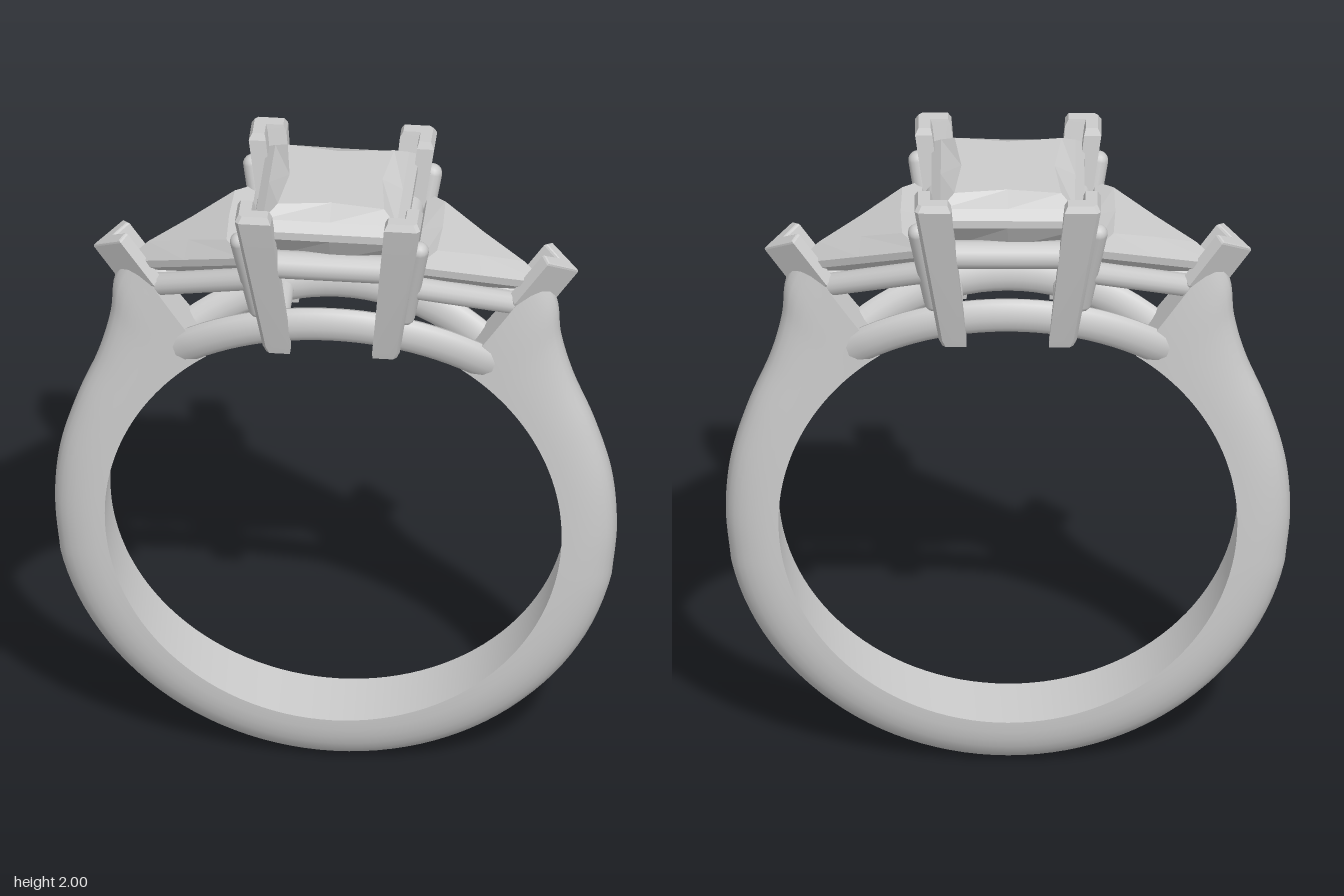
import * as THREE from 'three';
import { toCreasedNormals } from 'three/addons/utils/BufferGeometryUtils.js';

const mat = new THREE.MeshStandardMaterial({ color: 0xcccccc, side: THREE.DoubleSide });
const V = (x, y, z) => new THREE.Vector3(x, y, z);

// Skin a list of equal-sized rings, cap both ends, and turn the faces outward
function loft(rings, crease) {
  const n = rings[0].length, tris = [];
  const tri = (a, b, c) => {
    if (V(0, 0, 0).subVectors(b, a).cross(V(0, 0, 0).subVectors(c, a)).length() > 1e-9) tris.push([a, b, c]);
  };
  for (let i = 0; i + 1 < rings.length; i++) {
    for (let j = 0; j < n; j++) {
      const k = (j + 1) % n, p = rings[i], q = rings[i + 1];
      tri(p[j], p[k], q[k]);
      tri(p[j], q[k], q[j]);
    }
  }
  const first = rings[0], last = rings[rings.length - 1];
  for (let j = 1; j < n - 1; j++) {
    tri(first[0], first[j + 1], first[j]);
    tri(last[0], last[j], last[j + 1]);
  }
  const volume = tris.reduce((s, [a, b, c]) => s + a.dot(b.clone().cross(c)), 0);
  const pts = tris.flatMap(([a, b, c]) => (volume < 0 ? [a, c, b] : [a, b, c]));
  return toCreasedNormals(new THREE.BufferGeometry().setFromPoints(pts), crease);
}

function add(parent, name, geometry) {
  const mesh = new THREE.Mesh(geometry, mat);
  mesh.name = name;
  parent.add(mesh);
  return mesh;
}

// Round bar between two points
function bar(parent, name, a, b, r) {
  const mesh = add(parent, name, new THREE.CapsuleGeometry(r, a.distanceTo(b), 5, 14));
  mesh.position.copy(a).lerp(b, 0.5);
  mesh.quaternion.setFromUnitVectors(V(0, 1, 0), b.clone().sub(a).normalize());
  return mesh;
}

const CY = 0.825, R = 0.665, RAD = Math.PI / 180;

// Shank: D-shaped sections swept around the finger hole, rising into the shoulders
function shank() {
  // outer x, outer y, angle of the matching inner point
  const keys = new THREE.CatmullRomCurve3([
    V(0.803, 0.65, -12), V(0.818, CY, 0), V(0.803, 1.0, 11), V(0.752, 1.18, 23),
    V(0.69, 1.34, 34), V(0.655, 1.48, 44), V(0.643, 1.6, 51), V(0.6, 1.7, 56),
  ]);
  const half = [];
  for (let a = -90; a < -12; a += 3) {
    half.push(V(0.822 * Math.cos(a * RAD), CY + 0.822 * Math.sin(a * RAD), a));
  }
  half.push(...keys.getPoints(42));
  const section = (p, side) => {
    const ix = R * Math.cos(p.z * RAD), iy = CY + R * Math.sin(p.z * RAD);
    const w = 0.1155 - 0.0345 * iy, ring = [];
    for (let j = 0; j <= 16; j++) {
      const f = (j / 16) * Math.PI, c = Math.cos(f);
      const u = Math.pow(Math.max(0, Math.sin(f)), 0.95);
      const z = w * Math.sign(c) * Math.pow(Math.abs(c), 0.8);
      ring.push(V(side * (ix + (p.x - ix) * u), iy + (p.y - iy) * u, z));
    }
    return ring;
  };
  const right = half.map((p) => section(p, 1));
  const left = half.slice(1).reverse().map((p) => section(p, -1));
  return loft([...left, ...right], 0.7);
}

// Square centre stone: table, crown, girdle and pavilion
function centreStone() {
  const ring = (corner, mid, y) => Array.from({ length: 8 }, (_, i) => {
    const a = (i * Math.PI) / 4, r = i % 2 ? corner * Math.SQRT2 : mid;
    return V(r * Math.cos(a), y, r * Math.sin(a));
  });
  return loft([
    ring(0, 0, 1.98), ring(0.155, 0.135, 1.98), ring(0.195, 0.195, 1.95), ring(0.222, 0.222, 1.925),
    ring(0.222, 0.222, 1.9), ring(0.14, 0.165, 1.8), ring(0, 0, 1.67),
  ], 0.01);
}

// L-shaped corner claw, tapering down and inward
function claw(sx, sz) {
  const ring = (x, z, lx, lz, t, y) => [
    [x - t, z - t], [x - lx, z - t], [x - lx, z], [x - 0.01, z], [x, z - 0.01], [x, z - lz], [x - t, z - lz],
  ].map(([px, pz]) => V(sx * px, y, sz * pz));
  return loft([
    ring(0.19, 0.15, 0.07, 0.045, 0.03, 1.455), ring(0.2, 0.157, 0.08, 0.06, 0.04, 1.48),
    ring(0.27, 0.272, 0.105, 0.105, 0.05, 1.98), ring(0.26, 0.262, 0.085, 0.085, 0.035, 2.0),
  ], 0.3);
}

// Tapered triangular side stone, tip pointing along +x
function sideStone() {
  const cx = 0.13;
  const ring = (s, y, bulge) => {
    const c = [[0, 0.195], [0.4, 0], [0, -0.195]], out = [];
    c.forEach(([x, z], i) => {
      const [nx, nz] = c[(i + 1) % 3];
      for (const [px, pz, k] of [[x, z, s], [(x + nx) / 2, (z + nz) / 2, s * bulge]]) {
        out.push(V(cx + (px - cx) * k, y, pz * k));
      }
    });
    return out;
  };
  return loft([
    ring(0, 0.04, 1), ring(0.66, 0.04, 0.94), ring(1, 0, 1), ring(1, -0.025, 1),
    ring(0.55, -0.08, 1.1), ring(0, -0.13, 1),
  ], 0.01);
}

// Everything on one side of the centre stone; the other side is turned half round
function sideSetting() {
  const g = new THREE.Group();
  const tilted = new THREE.Group();
  tilted.name = 'tiltedSideSetting';
  tilted.position.set(0.25, 1.81, 0);
  tilted.rotation.z = -24 * RAD;
  g.add(tilted);
  add(tilted, 'sideStone', sideStone());
  bar(tilted, 'sideBackRail', V(0.01, -0.095, -0.15), V(0.01, -0.095, 0.15), 0.032);

  // V-shaped claw holding the tip
  const v = new THREE.Shape([
    [0.05, 0], [-0.04, 0.05], [-0.055, 0.03], [-0.01, 0], [-0.055, -0.03], [-0.04, -0.05],
  ].map(([x, y]) => new THREE.Vector2(x, y)));
  const tip = new THREE.ExtrudeGeometry(v, {
    depth: 0.17, bevelThickness: 0.008, bevelSize: 0.006, bevelSegments: 2,
  });
  tip.rotateX(-Math.PI / 2).translate(0, -0.178, 0);
  const tipClaw = add(g, 'tipClaw', tip);
  tipClaw.position.set(0.66, 1.732, 0);
  tipClaw.rotation.z = -34 * RAD;

  for (const s of [-1, 1]) {
    bar(tilted, 'sideRail', V(0, -0.095, s * 0.165), V(0.34, -0.095, s * 0.015), 0.034);
    bar(g, 'sideClaw', V(0.215, 1.6, s * 0.135), V(0.262, 1.875, s * 0.205), 0.028);
  }
  return g;
}

export function createModel() {
  const model = new THREE.Group();
  model.name = 'threeStoneRing';
  add(model, 'shank', shank());
  add(model, 'centreStone', centreStone());

  for (const s of [-1, 1]) {
    // Upper gallery frame under the centre stone
    bar(model, 'galleryFrontRail', V(-0.2, 1.79, s * 0.185), V(0.2, 1.79, s * 0.185), 0.042);
    bar(model, 'gallerySideRail', V(s * 0.2, 1.79, -0.185), V(s * 0.2, 1.79, 0.185), 0.042);
    for (const t of [-1, 1]) add(model, 'cornerClaw', claw(s, t));

    // Lower rail following the finger hole, bowed outward between the shoulders
    const rings = [];
    for (let i = 0; i <= 24; i++) {
      const a = (50 + (80 * i) / 24) * RAD;
      const z = s * (0.035 + 0.08 * Math.pow(Math.sin((i / 24) * Math.PI), 0.8));
      rings.push(Array.from({ length: 12 }, (_, j) => {
        const b = (j / 12) * Math.PI * 2;
        const r = 0.718 + 0.053 * Math.cos(b);
        return V(r * Math.cos(a), CY + r * Math.sin(a), z + 0.033 * Math.sin(b));
      }));
    }
    add(model, 'lowerRail', loft(rings, 0.8));
    bar(model, 'lowerCrossBar', V(s * 0.16, 1.525, -0.1), V(s * 0.16, 1.525, 0.1), 0.03);

    const side = sideSetting();
    side.name = s > 0 ? 'leftSideSetting' : 'rightSideSetting';
    side.rotation.y = s > 0 ? 0 : Math.PI;
    model.add(side);
  }
  return model;
}
